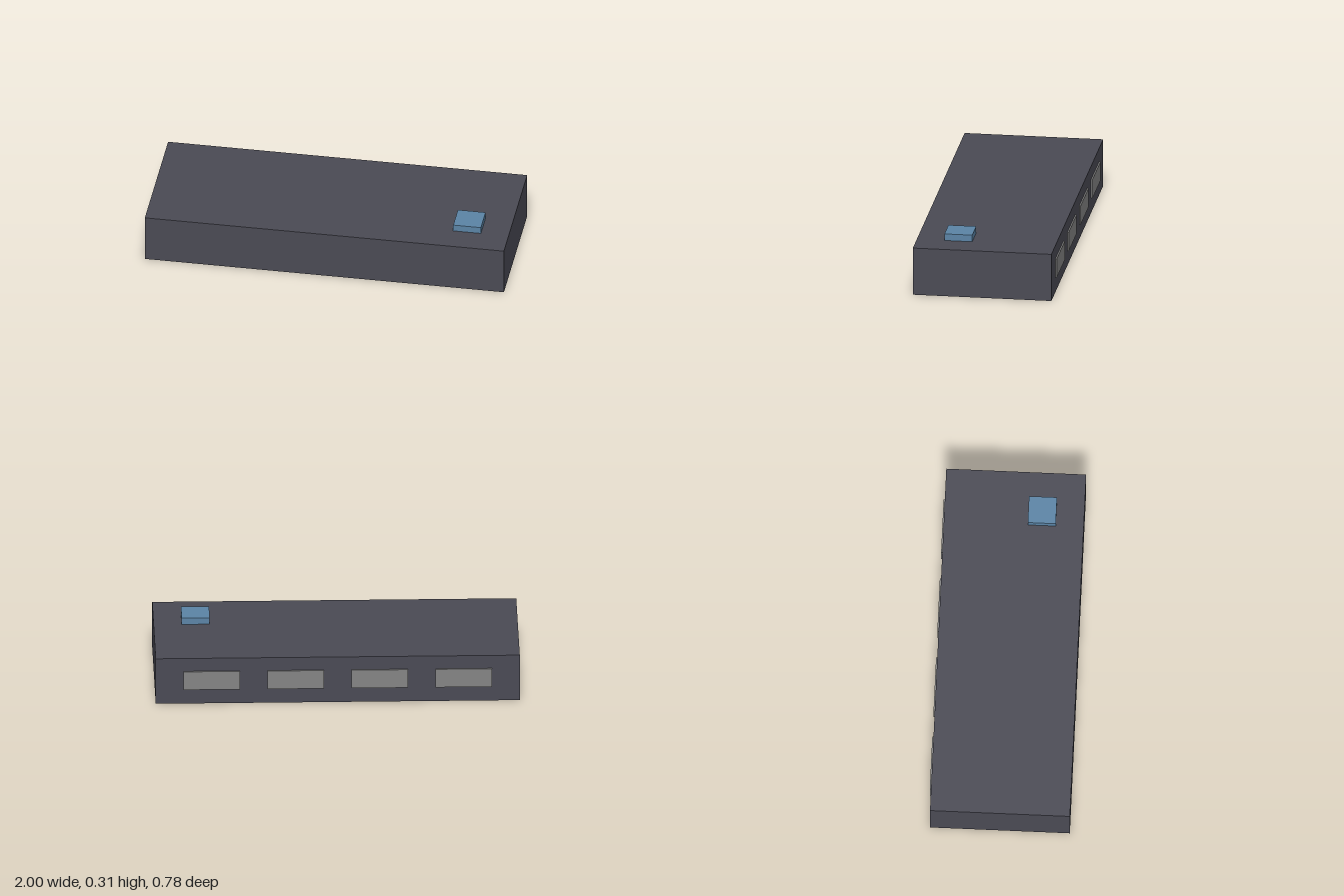
import * as THREE from 'three';

export function createModel() {
  const model = new THREE.Group();
  model.name = 'consoleBox';

  const material = (name, color) => {
    const m = new THREE.MeshStandardMaterial({ color });
    m.name = name;
    return m;
  };
  const charcoal = material('charcoal', 0x4a4a54);
  const blue = material('blue', 0x5b84a6);
  const grey = material('grey', 0x848484);

  // Box given by its size and the centre of its base
  const addBox = (name, mat, [w, h, d], [x, y, z]) => {
    const mesh = new THREE.Mesh(new THREE.BoxGeometry(w, h, d), mat);
    mesh.name = name;
    mesh.position.set(x, y + h / 2, z);
    model.add(mesh);
  };

  // Main slab
  addBox('body', charcoal, [2, 0.27, 0.769], [0, 0, 0.004]);

  // Raised block on top, near the front left corner
  addBox('topBlock', blue, [0.154, 0.038, 0.154], [0.769, 0.27, 0.158]);

  // Row of four thin panels on the back
  for (let i = 0; i < 4; i++) {
    addBox(`backPanel${i + 1}`, grey, [0.308, 0.108, 0.008], [-0.692 + i * 0.4615, 0.085, -0.3845]);
  }

  return model;
}
